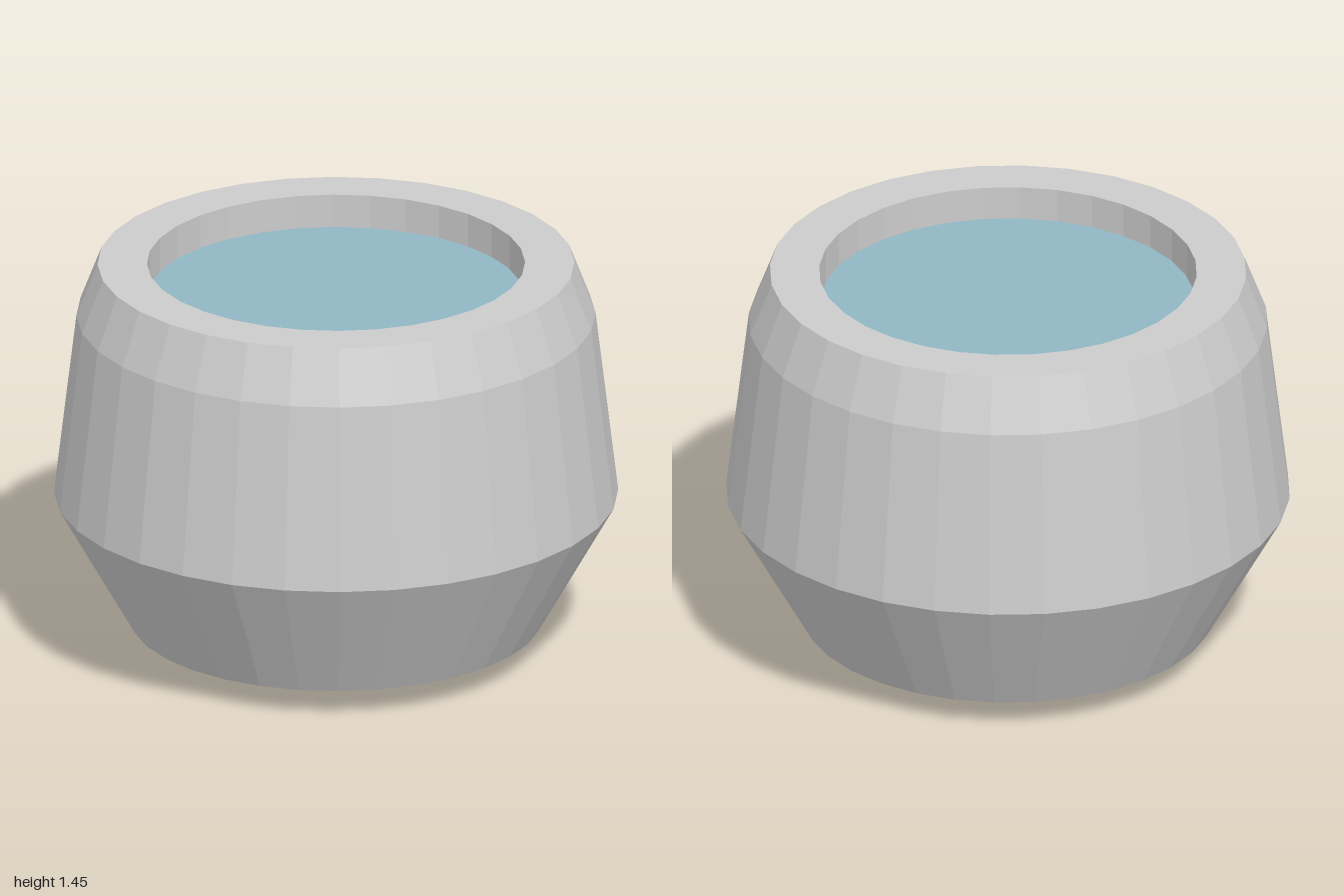
import * as THREE from 'three';

const SIDES = 32;

export function createModel() {
  const group = new THREE.Group();
  group.name = 'waterPot';

  // Pot: outer wall from the bottom point up, over the flat rim and into the basin
  const profile = [
    [0, 0], [0.73, 0.1], [1, 0.58], [0.92, 1.25], [0.845, 1.445],
    [0.67, 1.445], [0.67, 1.29], [0, 1.29],
  ].map(([r, y]) => new THREE.Vector2(r, y));
  const pot = new THREE.Mesh(
    new THREE.LatheGeometry(profile, SIDES),
    new THREE.MeshStandardMaterial({ color: 0xcccccc, flatShading: true })
  );
  pot.name = 'pot';

  // Water surface, just inside the basin wall
  const water = new THREE.Mesh(
    new THREE.CircleGeometry(0.664, SIDES).rotateX(-Math.PI / 2),
    new THREE.MeshStandardMaterial({ color: 0x91b7c3 })
  );
  water.name = 'water';
  water.position.y = 1.325;

  group.add(pot, water);
  return group;
}
